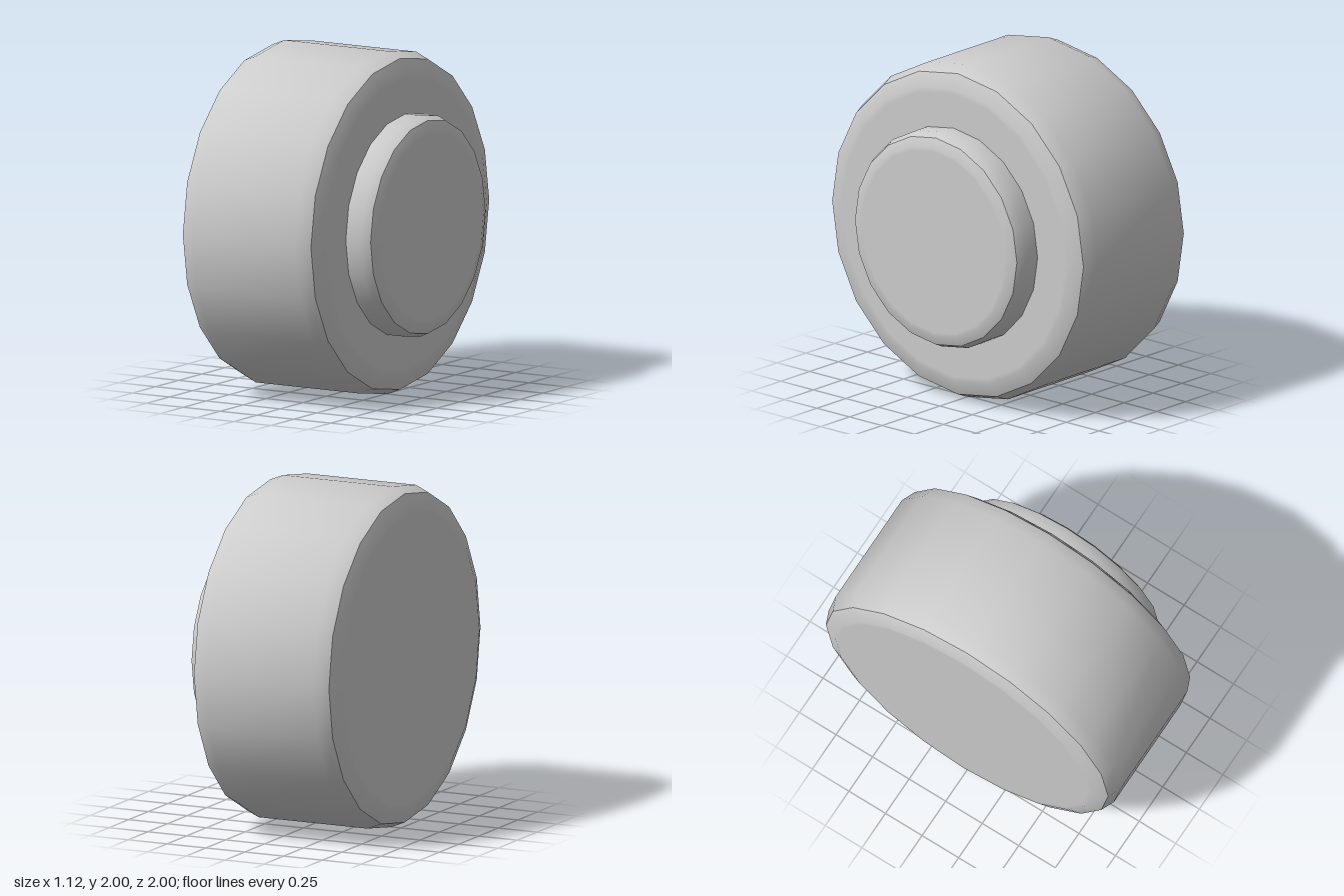
import * as THREE from 'three';
import { toCreasedNormals } from 'three/addons/utils/BufferGeometryUtils.js';

const SIDES = 20;
const CREASE = THREE.MathUtils.degToRad(35);

// Disc along x with rounded rims; r and w are the total bevel depth and width
function disc(name, x0, x1, radius, r, w, material) {
  // half of the rim, from the flat face to the outer wall: [inset along x, radius]
  const rim = [
    [0, 0],
    [0, radius - r * 1.25],
    [0, radius - r],
    [w * 0.3, radius - r * 0.29],
    [w, radius],
  ];
  const points = [
    ...rim.map(([d, rad]) => new THREE.Vector2(rad, x0 + d)),
    ...rim.map(([d, rad]) => new THREE.Vector2(rad, x1 - d)).reverse(),
  ];
  const lathe = new THREE.LatheGeometry(points, SIDES);
  lathe.rotateZ(-Math.PI / 2);
  const mesh = new THREE.Mesh(toCreasedNormals(lathe, CREASE), material);
  mesh.name = name;
  mesh.position.y = 1;
  return mesh;
}

export function createModel() {
  const group = new THREE.Group();
  group.name = 'wheel';
  const grey = new THREE.MeshStandardMaterial({ color: 0xcccccc });
  // wide tyre and the smaller hub cap on its left side
  group.add(disc('tyre', -0.56, 0.38, 1, 0.12, 0.12, grey));
  group.add(disc('hubCap', 0.2, 0.556, 0.645, 0.08, 0.075, grey));
  return group;
}
